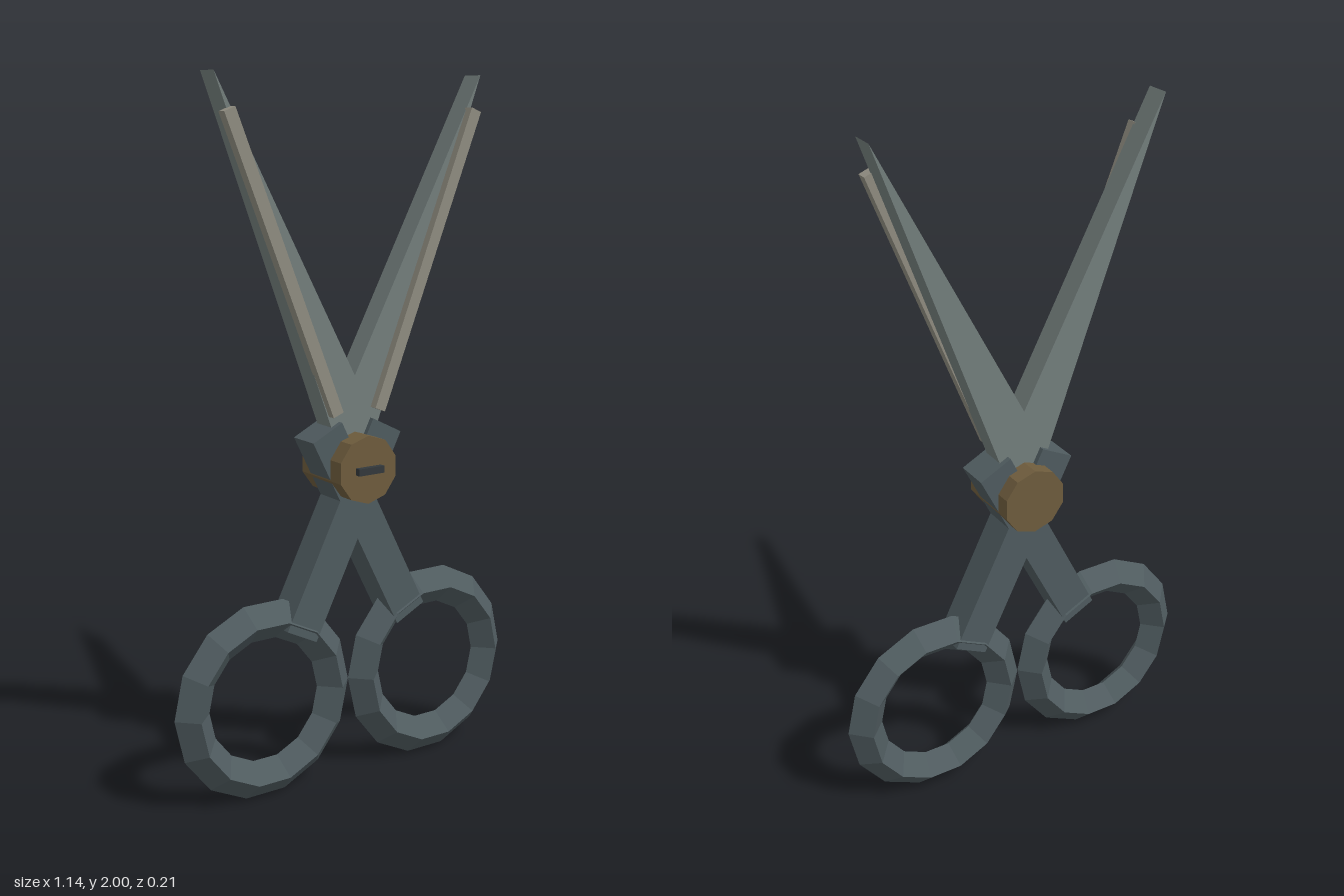
import * as THREE from 'three';

const Z = -0.014; // mid plane of the flat parts
const mat = (color) => new THREE.MeshStandardMaterial({ color, flatShading: true });
const handleMat = mat(0x4f5b5f);
const bladeMat = mat(0x737e7c);
const edgeMat = mat(0x8f8c80);
const boltMat = mat(0x6e5c3d);
const slotMat = mat(0x33383b);

function add(group, name, geometry, material, x = 0, y = 0, z = 0) {
  const mesh = new THREE.Mesh(geometry, material);
  mesh.name = name;
  mesh.position.set(x, y, z);
  group.add(mesh);
  return mesh;
}

// Box running between two points in the xy plane
function bar(group, name, material, a, b, width, z0, z1) {
  const from = new THREE.Vector2(...a), d = new THREE.Vector2(...b).sub(from);
  const geometry = new THREE.BoxGeometry(width, d.length(), z1 - z0);
  const mesh = add(group, name, geometry, material, a[0] + d.x / 2, a[1] + d.y / 2, (z0 + z1) / 2);
  mesh.rotation.z = Math.atan2(-d.x, d.y);
}

// Flat wedge of a blade; s mirrors it to the other side
function bladeGeometry(s) {
  const outline = [[-0.428, 2], [-0.043, 0.95], [0.103, 0.99]];
  const shape = new THREE.Shape(outline.map(([x, y]) => new THREE.Vector2(s * x, y)));
  const geometry = new THREE.ExtrudeGeometry(shape, { depth: 0.07, bevelEnabled: false });
  return geometry.translate(0, 0, Z - 0.035);
}

export function createModel() {
  const model = new THREE.Group();
  model.name = 'scissors';

  // Two mirrored halves crossing at the pivot
  for (const s of [1, -1]) {
    const half = new THREE.Group();
    half.name = s > 0 ? 'firstHalf' : 'secondHalf';

    // Finger ring with a diamond cross-section
    const ring = add(half, 'fingerRing', new THREE.TorusGeometry(0.23, 0.054, 4, 14), handleMat, s * -0.284, 0.285, Z);
    ring.scale.y = 1.027;

    // Shank from the ring through the pivot to the stop
    bar(half, 'shank', handleMat, [s * -0.188, 0.464], [s * 0.1, 1.037], 0.106, Z - 0.05, Z + 0.05);

    // Blade and the raised strip along its outer edge
    add(half, 'blade', bladeGeometry(s), bladeMat);
    bar(half, 'edgeStrip', edgeMat, [s * -0.07, 1.085], [s * -0.397, 1.905], 0.035, 0.015, 0.045);
    model.add(half);
  }

  // Pivot bolt with a slot bar on its front
  const bolt = new THREE.CylinderGeometry(0.097, 0.097, 0.196, 10).rotateX(Math.PI / 2);
  add(model, 'pivotBolt', bolt, boltMat, 0, 0.93, -0.01);
  add(model, 'boltSlot', new THREE.BoxGeometry(0.084, 0.02, 0.03), slotMat, 0, 0.93, 0.09);

  return model;
}
